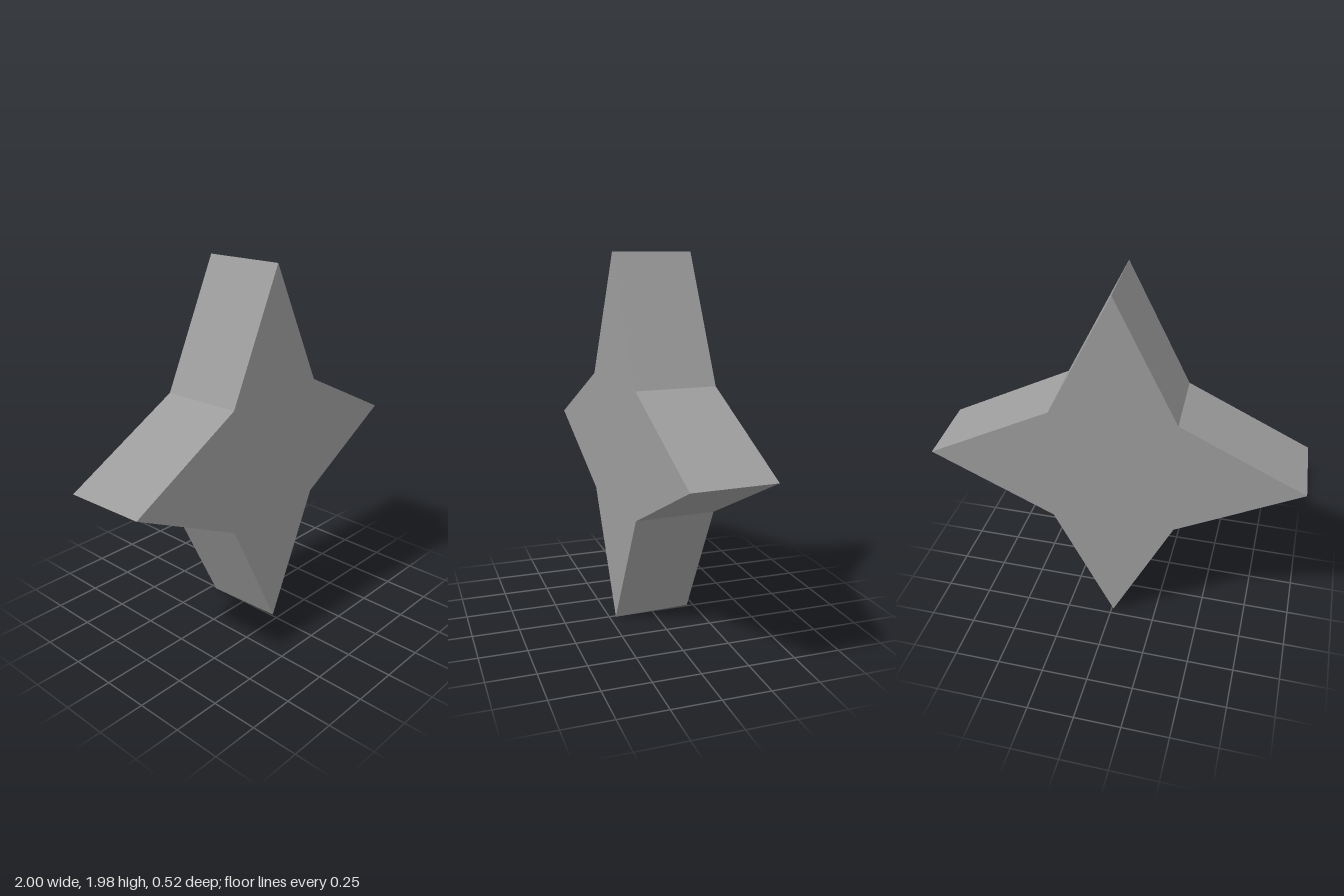
import * as THREE from 'three';

const OUTER = 0.99;   // tip distance from the centre
const INNER = 0.33;   // notch offset on both axes
const DEPTH = 0.43;
const TURN = 0.048;   // slight yaw of the whole star

export function createModel() {
  const model = new THREE.Group();
  model.name = 'fourPointedStar';

  const grey = new THREE.MeshStandardMaterial({ color: 0x9c9c9c });
  grey.name = 'grey';

  // Outline: alternating tips and notches
  const points = [];
  for (let i = 0; i < 8; i++) {
    const angle = (i * Math.PI) / 4;
    const radius = i % 2 ? INNER * Math.SQRT2 : OUTER;
    points.push(new THREE.Vector2(Math.cos(angle) * radius, Math.sin(angle) * radius));
  }

  // Straight prism with sharp edges
  const geometry = new THREE.ExtrudeGeometry(new THREE.Shape(points), {
    depth: DEPTH,
    bevelEnabled: false,
  });
  geometry.translate(0, 0, -DEPTH / 2);

  const star = new THREE.Mesh(geometry, grey);
  star.name = 'starBody';
  star.position.y = OUTER;
  star.rotation.y = TURN;
  model.add(star);

  return model;
}
